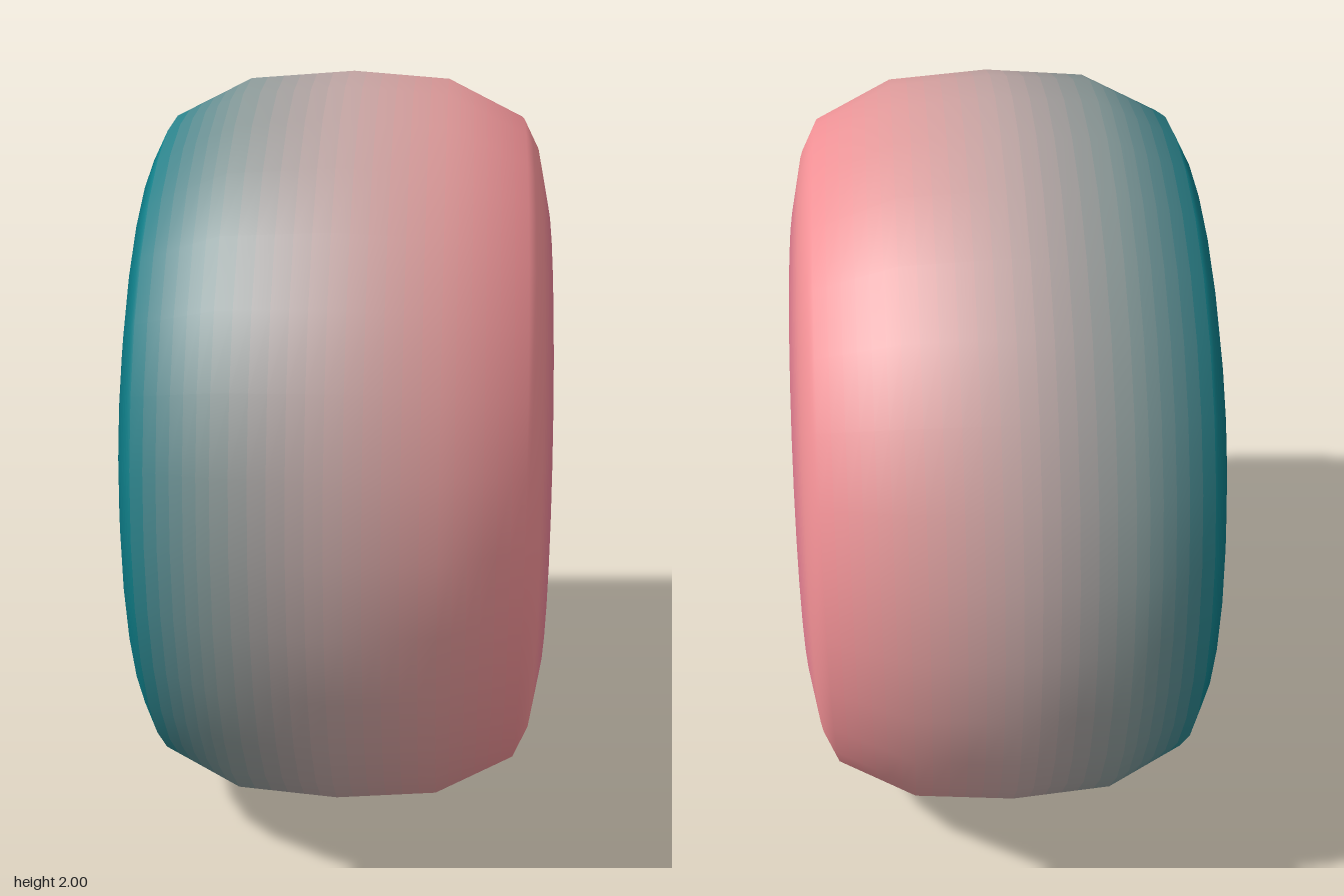
import * as THREE from 'three';
import { mergeGeometries } from 'three/addons/utils/BufferGeometryUtils.js';

const SIDES = 32;
const mat = (color) => new THREE.MeshStandardMaterial({ color, side: THREE.DoubleSide });

// Surface of revolution about the x axis; profile is [x, radius] pairs
function spin(profile) {
  const pts = profile.map(([x, r]) => new THREE.Vector2(r, x));
  return new THREE.LatheGeometry(pts, SIDES).rotateZ(-Math.PI / 2);
}

// Same, but with a sharp edge at every profile point
function spinSharp(profile) {
  return mergeGeometries(profile.slice(1).map((p, i) => spin([profile[i], p])));
}

// Narrow ring of a lathe between two fractional profile positions, keeping its smooth normals
function band(lathe, n, j, t0, t1) {
  const g = new THREE.BufferGeometry();
  for (const name of ['position', 'normal']) {
    const src = lathe.attributes[name], out = [];
    const a = new THREE.Vector3(), b = new THREE.Vector3(), v = new THREE.Vector3();
    for (let i = 0; i <= SIDES; i++) {
      a.fromBufferAttribute(src, i * n + j);
      b.fromBufferAttribute(src, i * n + j + 1);
      for (const t of [t0, t1]) out.push(...v.lerpVectors(a, b, t).toArray());
    }
    g.setAttribute(name, new THREE.Float32BufferAttribute(out, 3));
  }
  const index = [];
  for (let i = 0; i < SIDES; i++) {
    const k = i * 2;
    index.push(k, k + 2, k + 1, k + 3, k + 1, k + 2);
  }
  g.setIndex(index);
  return g;
}

export function createModel() {
  const wheel = new THREE.Group();
  wheel.name = 'wheel';
  const add = (parent, name, geometry, material) => {
    const m = new THREE.Mesh(geometry, material);
    m.name = name;
    parent.add(m);
    return m;
  };

  // Tyre: smooth low-poly section, tinted gradually from one sidewall to the other
  const section = [
    [-0.5, 0.5, 0x0b5010], [-0.53, 0.65, 0x065f6a], [-0.5, 0.8, 0x08717c], [-0.46, 0.88, 0x127f88],
    [-0.26, 0.98, 0x859796], [0, 1, 0xc0a5a3], [0.26, 0.98, 0xdf9a9a], [0.46, 0.88, 0xf08f94],
    [0.5, 0.8, 0xf08f94], [0.53, 0.65, 0xe27c92], [0.5, 0.5, 0xe07410],
  ];
  const tyre = new THREE.Group();
  tyre.name = 'tyre';
  wheel.add(tyre);
  const tyreLathe = spin(section);
  const steps = 6;
  for (let j = 0; j < section.length - 1; j++) {
    const from = new THREE.Color(section[j][2]), to = new THREE.Color(section[j + 1][2]);
    for (let s = 0; s < steps; s++) {
      const color = from.clone().lerp(to, (s + 0.5) / steps);
      add(tyre, 'tyreBand', band(tyreLathe, section.length, j, s / steps, (s + 1) / steps), mat(color));
    }
  }

  // Rim barrel, outer and inner halves meeting at the wheel plate
  const rim = (end) => spinSharp([[end * 0.49, 0.5], [end * 0.51, 0.5], [end * 0.51, 0.46], [end * 0.49, 0.455], [0.05, 0.445]]);
  add(wheel, 'outerRim', rim(1), mat(0x9c7410));
  add(wheel, 'innerRim', rim(-1), mat(0x0f7a12));

  // Wheel plate with five round holes
  const plateShape = new THREE.Shape().absarc(0, 0, 0.42, 0, Math.PI * 2);
  const holeAngle = (i) => Math.PI / 2 + (i * Math.PI * 2) / 5;
  for (let i = 0; i < 5; i++) {
    const a = holeAngle(i);
    plateShape.holes.push(new THREE.Path().absarc(0.31 * Math.cos(a), 0.31 * Math.sin(a), 0.092, 0, Math.PI * 2, true));
  }
  const plateGeo = new THREE.ExtrudeGeometry(plateShape, { depth: 0.04, bevelEnabled: false, curveSegments: 16 });
  plateGeo.rotateY(Math.PI / 2).translate(0.04, 0, 0);
  add(wheel, 'wheelPlate', plateGeo, [mat(0x8e0a0a), mat(0x140505)]);
  add(wheel, 'plateEdge', spinSharp([[0.04, 0.447], [0.08, 0.447], [0.08, 0.42], [0.04, 0.42], [0.04, 0.447]]), mat(0x8a4a10));

  // Dark back cover with one flat beside each hole
  const corners = [];
  for (let i = 0; i < 5; i++) {
    for (const side of [-1, 1]) {
      const a = holeAngle(i) + side * 0.485;
      corners.push(new THREE.Vector2(0.43 * Math.cos(a), 0.43 * Math.sin(a)));
    }
  }
  const coverGeo = new THREE.ExtrudeGeometry(new THREE.Shape(corners), { depth: 0.1, bevelEnabled: false });
  coverGeo.rotateY(Math.PI / 2).translate(-0.43, 0, 0);
  add(wheel, 'backCover', coverGeo, mat(0x0a0a0a));

  // Small axle boss in the middle of the cover
  const boss = add(wheel, 'axleBoss', new THREE.CylinderGeometry(0.05, 0.05, 0.04, 6), mat(0x0a0a0a));
  boss.rotation.z = Math.PI / 2;
  boss.position.x = -0.44;

  wheel.position.y = 1;
  const model = new THREE.Group();
  model.name = 'wheelModel';
  model.add(wheel);
  return model;
}
